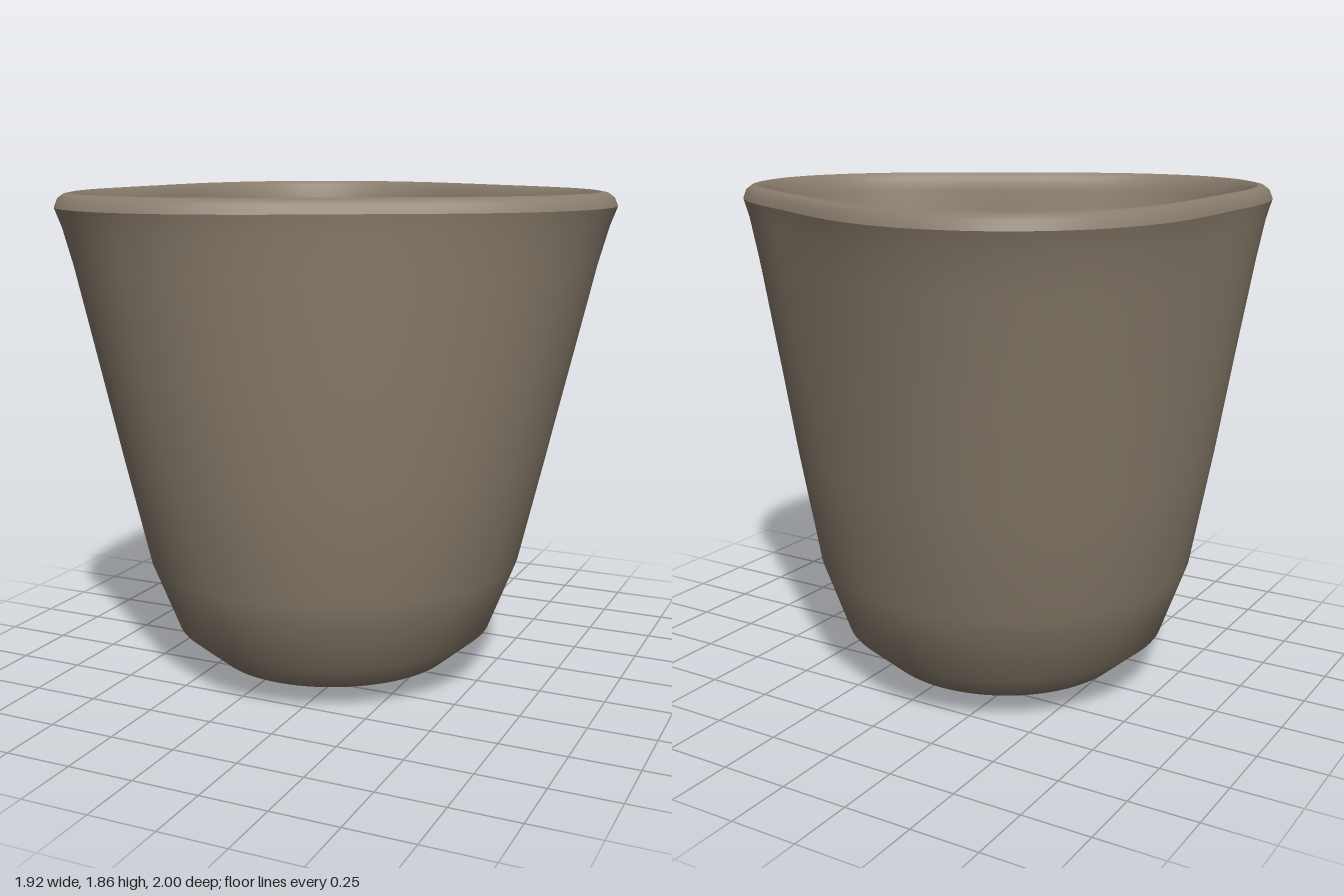
import * as THREE from 'three';

const CENTER_X = -0.105;
const SEGMENTS = 96;

// Loft rings of [height, radius, three-lobe amplitude] around the cup axis
function loft(rings) {
  const positions = [], index = [];
  for (const [y, radius, lobe] of rings) {
    for (let j = 0; j < SEGMENTS; j++) {
      const t = (j / SEGMENTS) * Math.PI * 2;
      const r = radius + lobe * Math.cos(3 * t);
      positions.push(CENTER_X + r * Math.cos(t), y, r * Math.sin(t));
    }
  }
  for (let i = 0; i < rings.length - 1; i++) {
    for (let j = 0; j < SEGMENTS; j++) {
      const k = (j + 1) % SEGMENTS;
      const a = i * SEGMENTS + j, c = i * SEGMENTS + k;
      const b = a + SEGMENTS, d = c + SEGMENTS;
      index.push(a, b, c, b, d, c);
    }
  }
  const geometry = new THREE.BufferGeometry();
  geometry.setAttribute('position', new THREE.Float32BufferAttribute(positions, 3));
  geometry.setIndex(index);
  geometry.computeVertexNormals();
  return geometry;
}

export function createModel() {
  const group = new THREE.Group();
  group.name = 'trefoilPot';

  const clay = new THREE.MeshStandardMaterial({ color: 0x8a7d6d });
  clay.name = 'brown clay';
  const green = new THREE.MeshStandardMaterial({ color: 0x2f3a32 });
  green.name = 'dark green';

  const add = (name, geometry, material) => {
    const mesh = new THREE.Mesh(geometry, material);
    mesh.name = name;
    group.add(mesh);
    return mesh;
  };

  // Rounded foot blending from a circle into the three-lobed mouth
  add('outerWall', loft([
    [0, 0.001, 0], [0.005, 0.14, 0], [0.017, 0.28, 0], [0.065, 0.47, 0.003],
    [0.19, 0.615, 0.004], [0.46, 0.715, 0.01], [0.88, 0.797, 0.03],
    [1.25, 0.86, 0.055], [1.6, 0.918, 0.08], [1.74, 0.943, 0.095], [1.81, 0.962, 0.103],
  ]), clay);

  // Bevelled lip
  add('rim', loft([
    [1.81, 0.962, 0.103], [1.84, 0.95, 0.102], [1.855, 0.93, 0.101], [1.86, 0.905, 0.1],
  ]), clay);

  // Hollow inside, down to the circular floor
  add('innerWall', loft([
    [1.86, 0.905, 0.1], [1.84, 0.882, 0.1], [1.79, 0.862, 0.097], [1.6, 0.835, 0.08],
    [1.25, 0.778, 0.055], [0.88, 0.715, 0.03], [0.46, 0.63, 0.01],
    [0.25, 0.54, 0.003], [0.16, 0.45, 0], [0.13, 0.369, 0],
  ]), clay);

  // Round floor plate
  const floor = add('floorDisc', new THREE.CircleGeometry(0.37, SEGMENTS), green);
  floor.rotation.x = -Math.PI / 2;
  floor.position.set(CENTER_X, 0.131, 0);

  return group;
}
